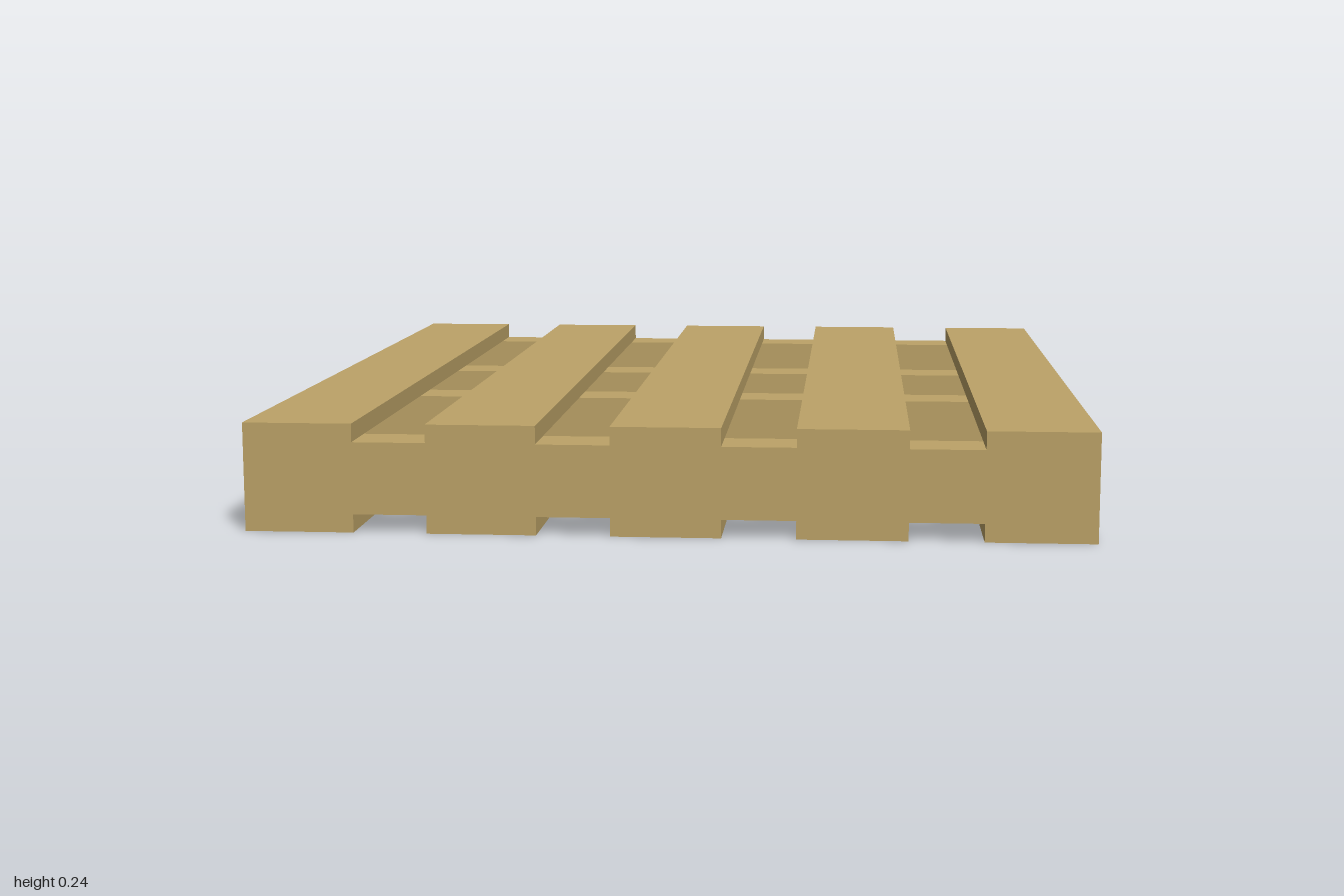
import * as THREE from 'three';

export function createModel() {
  const pallet = new THREE.Group();
  pallet.name = 'pallet';
  const wood = new THREE.MeshStandardMaterial({ color: 0xbda368 });

  const height = 0.237, board = 0.04;
  const slatWidth = 0.237, slatPitch = 0.3955, halfWidth = 0.911;

  const addBox = (name, size, position) => {
    const mesh = new THREE.Mesh(new THREE.BoxGeometry(...size), wood);
    mesh.name = name;
    mesh.position.set(...position);
    pallet.add(mesh);
  };

  // Five deck boards on top and five below, running front to back
  for (let i = -2; i <= 2; i++) {
    const x = i * (halfWidth - slatWidth / 2) / 2;
    addBox('topBoard', [slatWidth, board, 2], [x, height - board / 2, 0]);
    addBox('bottomBoard', [slatWidth, board, 2], [x, board / 2, 0]);
  }

  // Four stringers between the decks, running side to side
  const depth = 0.114;
  for (const z of [1 - depth / 2, 0.243, -0.243, -1 + depth / 2]) {
    addBox('stringer', [halfWidth * 2, height - board * 2, depth], [0, height / 2, z]);
  }

  return pallet;
}
